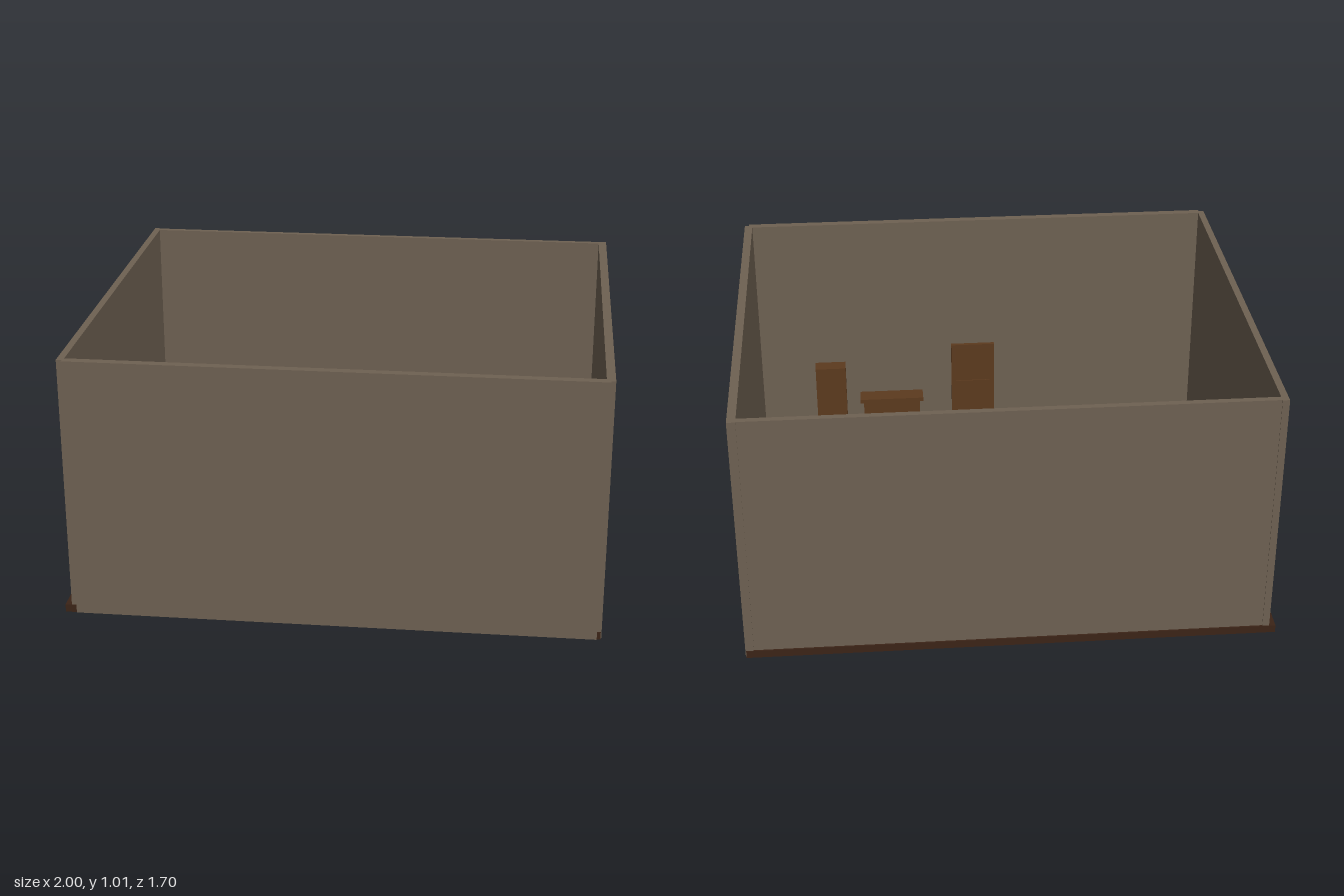
import * as THREE from 'three';

const mat = (color) => new THREE.MeshStandardMaterial({ color });

// Box given by its minimum and maximum corners
function block(parent, name, material, [x0, y0, z0], [x1, y1, z1]) {
  const mesh = new THREE.Mesh(new THREE.BoxGeometry(x1 - x0, y1 - y0, z1 - z0), material);
  mesh.position.set((x0 + x1) / 2, (y0 + y1) / 2, (z0 + z1) / 2);
  mesh.name = name;
  parent.add(mesh);
  return mesh;
}

// Framed door with two recessed panels, facing -z, bottom centre at the origin
function makeDoor(name, material) {
  const door = new THREE.Group();
  door.name = name;
  const w = 0.095, h = 0.4, rim = 0.02;
  const shape = new THREE.Shape();
  shape.moveTo(-w, 0).lineTo(w, 0).lineTo(w, h).lineTo(-w, h).closePath();
  for (const [y0, y1] of [[rim, 0.2], [0.22, h - rim]]) {
    const hole = new THREE.Path();
    hole.moveTo(-w + rim, y0).lineTo(-w + rim, y1).lineTo(w - rim, y1).lineTo(w - rim, y0).closePath();
    shape.holes.push(hole);
  }
  const frame = new THREE.Mesh(
    new THREE.ExtrudeGeometry(shape, { depth: 0.016, bevelEnabled: false }), material);
  frame.position.z = -0.008;
  frame.name = 'doorFrame';
  door.add(frame);
  block(door, 'doorPanel', material, [-w + rim, rim, -0.003], [w - rim, h - rim, 0.005]);
  return door;
}

export function createModel() {
  const room = new THREE.Group();
  room.name = 'room';
  const wall = mat(0x6e6152), floorMat = mat(0x3b2417), wood = mat(0x5c3a1e);
  const top = 1.01, floorTop = 0.03;

  // Floor slab, projecting slightly past the left-hand and back walls
  block(room, 'floor', floorMat, [-1, 0, -0.85], [0.997, floorTop, 0.84]);

  // Walls
  block(room, 'frontWall', wall, [-0.955, 0.004, 0.818], [0.983, top, 0.85]);
  block(room, 'backWall', wall, [-0.95, 0.004, -0.844], [0.968, top, -0.82]);
  block(room, 'rightWall', wall, [-0.976, 0.004, -0.847], [-0.95, top, 0.837]);
  block(room, 'leftWall', wall, [0.968, 0.004, -0.847], [1, top, 0.837]);

  // Doors on the front wall and the right wall
  const frontDoor = makeDoor('frontDoor', wood);
  frontDoor.position.set(0.035, floorTop, 0.787);
  const sideDoor = makeDoor('sideDoor', wood);
  sideDoor.rotation.y = -Math.PI / 2;
  sideDoor.position.set(-0.942, floorTop, 0.055);
  room.add(frontDoor, sideDoor);

  // Low dresser with an overhanging top
  const dresser = new THREE.Group();
  dresser.name = 'dresser';
  block(dresser, 'dresserBody', wood, [0.275, floorTop, 0.752], [0.525, 0.175, 0.818]);
  block(dresser, 'dresserTop', wood, [0.26, 0.175, 0.742], [0.54, 0.192, 0.818]);
  room.add(dresser);

  // Tall cupboard
  block(room, 'cupboard', wood, [0.6, floorTop, 0.75], [0.732, 0.35, 0.814]);

  return room;
}
